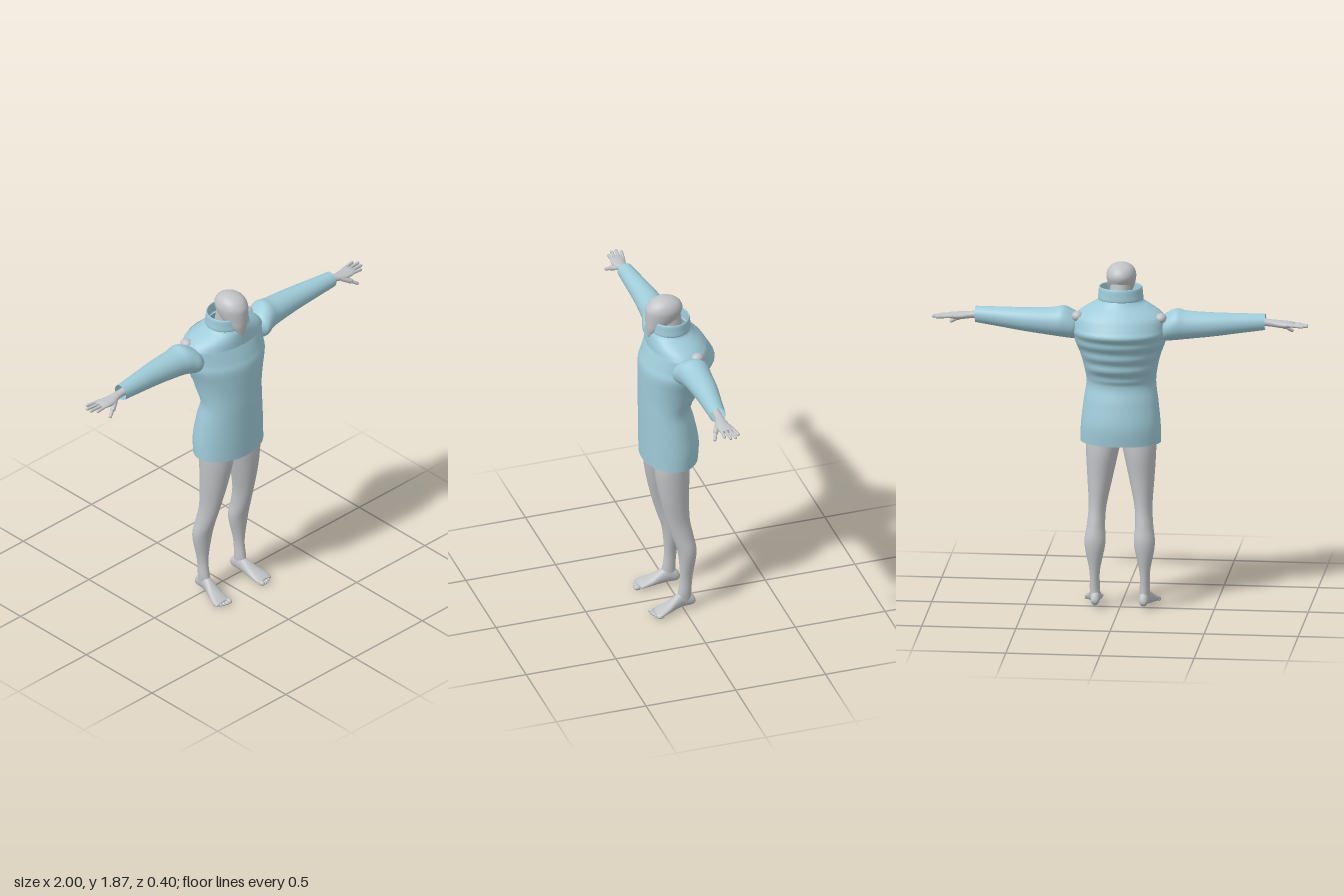
import * as THREE from 'three';

const skin = new THREE.MeshStandardMaterial({ color: 0xc1c3c6 });
skin.name = 'pale grey skin';
const knit = new THREE.MeshStandardMaterial({ color: 0x9fcbd9, side: THREE.DoubleSide });
knit.name = 'light blue knit';

// Smooth value between keys (Catmull-Rom)
function spline(keys, u, c) {
  const i = Math.min(Math.floor(u), keys.length - 2), f = u - i;
  const k = (n) => keys[Math.max(0, Math.min(keys.length - 1, n))][c];
  const [p, q, r, s] = [k(i - 1), k(i), k(i + 1), k(i + 2)];
  return q + 0.5 * f * (r - p + f * (2 * p - 5 * q + 4 * r - s + f * (3 * (q - r) + s - p)));
}

// Elliptical loft along an axis; each key is [t, aMin, aMax, bMin, bMax], t rising.
// Axis y: a = x, b = z. Axis x: a = y, b = z. Axis z: a = x, b = y.
function loft(axis, keys, { cap = true, steps = 5, sides = 40 } = {}) {
  const place = { y: (t, a, b) => [a, t, b], x: (t, a, b) => [t, a, b], z: (t, a, b) => [a, b, t] }[axis];
  const pos = [], idx = [], rows = (keys.length - 1) * steps;
  const tri = (a, b, c) => (axis === 'y' ? idx.push(a, b, c) : idx.push(a, c, b));
  for (let i = 0; i <= rows; i++) {
    const [t, a0, a1, b0, b1] = [0, 1, 2, 3, 4].map((c) => spline(keys, i / steps, c));
    for (let j = 0; j < sides; j++) {
      const w = (j / sides) * Math.PI * 2;
      pos.push(...place(t, (a0 + a1) / 2 + ((a1 - a0) / 2) * Math.cos(w), (b0 + b1) / 2 + ((b1 - b0) / 2) * Math.sin(w)));
    }
  }
  for (let i = 0; i < rows; i++) {
    for (let j = 0; j < sides; j++) {
      const p = i * sides + j, q = i * sides + ((j + 1) % sides);
      tri(p, p + sides, q);
      tri(q, p + sides, q + sides);
    }
  }
  if (cap) {
    const e = rows * sides;
    for (let j = 1; j < sides - 1; j++) {
      tri(0, j, j + 1);
      tri(e, e + j + 1, e + j);
    }
  }
  const g = new THREE.BufferGeometry();
  g.setAttribute('position', new THREE.Float32BufferAttribute(pos, 3));
  g.setIndex(idx);
  g.computeVertexNormals();
  return g;
}

// Copy of a geometry on the other side of x = 0
function mirrored(geo) {
  const g = geo.clone(), p = g.attributes.position, ix = g.index.array;
  for (let i = 0; i < p.count; i++) p.setX(i, -p.getX(i));
  for (let i = 0; i < ix.length; i += 3) [ix[i + 1], ix[i + 2]] = [ix[i + 2], ix[i + 1]];
  g.computeVertexNormals();
  return g;
}

// Rounded rod between two points
function rod(from, to, r) {
  const a = new THREE.Vector3(...from), d = new THREE.Vector3(...to).sub(a), len = d.length();
  const g = new THREE.CapsuleGeometry(r, len, 5, 12);
  g.applyQuaternion(new THREE.Quaternion().setFromUnitVectors(new THREE.Vector3(0, 1, 0), d.clone().normalize()));
  return g.translate(...a.addScaledVector(d, 0.5).toArray());
}

const ball = (x, y, z, rx, ry, rz) => new THREE.SphereGeometry(1, 20, 14).scale(rx, ry, rz).translate(x, y, z);

// Symmetric section [y, half width, back z, front z]
const even = (keys) => keys.map(([y, w, back, front]) => [y, -w, w, back, front]);

export function createModel() {
  const model = new THREE.Group();
  model.name = 'figureInSweater';
  const add = (name, geo, mat) => {
    const m = new THREE.Mesh(geo, mat);
    m.name = name;
    model.add(m);
  };
  const pair = (name, geo, mat) => {
    add(name + 'Left', geo, mat);
    add(name + 'Right', mirrored(geo), mat);
  };

  // Head with the face drawn down to a pointed chin
  add('head', loft('y', even([
    [1.638, 0.005, 0.145, 0.155], [1.66, 0.026, 0.115, 0.159], [1.70, 0.049, 0.08, 0.164],
    [1.74, 0.067, 0.0, 0.166], [1.78, 0.077, -0.03, 0.166], [1.81, 0.078, -0.035, 0.162],
    [1.84, 0.066, -0.018, 0.142], [1.86, 0.042, 0.015, 0.11], [1.869, 0.012, 0.05, 0.075],
  ])), skin);
  add('neck', loft('y', even([
    [1.5, 0.08, -0.06, 0.08], [1.62, 0.065, -0.045, 0.08], [1.7, 0.056, -0.035, 0.08], [1.79, 0.056, -0.02, 0.1],
  ])), skin);
  add('hips', loft('y', even([
    [0.885, 0.03, 0.0, 0.1], [0.9, 0.12, -0.025, 0.13], [0.95, 0.178, -0.055, 0.145],
    [1.05, 0.178, -0.06, 0.145], [1.2, 0.15, -0.045, 0.14], [1.3, 0.14, -0.05, 0.14],
  ])), skin);

  // Sweater body with soft folds across the back
  const body = loft('y', even([
    [0.9, 0.214, -0.108, 0.19], [1.0, 0.211, -0.114, 0.193], [1.12, 0.198, -0.092, 0.195],
    [1.22, 0.185, -0.07, 0.197], [1.3, 0.194, -0.108, 0.197], [1.38, 0.213, -0.138, 0.197],
    [1.46, 0.241, -0.172, 0.193], [1.51, 0.247, -0.196, 0.176], [1.575, 0.247, -0.166, 0.15], [1.6, 0.24, -0.15, 0.138],
  ]), { cap: false, steps: 8, sides: 64 });
  const p = body.attributes.position;
  for (let i = 0; i < p.count; i++) {
    const y = p.getY(i), z = p.getZ(i);
    if (y > 1.24 && y < 1.54 && z < 0) p.setZ(i, z + 0.005 * Math.sin(y * 90) * Math.min(1, -z / 0.08));
  }
  body.computeVertexNormals();
  add('sweaterBody', body, knit);
  add('sweaterYoke', loft('y', even([
    [1.588, 0.246, -0.158, 0.156], [1.62, 0.212, -0.13, 0.154], [1.65, 0.16, -0.1, 0.151],
    [1.67, 0.124, -0.085, 0.147], [1.69, 0.112, -0.07, 0.135],
  ]), { cap: false, sides: 64 }), knit);
  add('collar', loft('y', even([
    [1.678, 0.108, -0.065, 0.13], [1.682, 0.121, -0.078, 0.142], [1.71, 0.118, -0.076, 0.14],
    [1.742, 0.115, -0.073, 0.138], [1.744, 0.108, -0.066, 0.131], [1.69, 0.106, -0.064, 0.129],
  ]), { cap: false, steps: 3 }), knit);

  // Sleeves, with the bare shoulder showing behind each armhole
  pair('sleeve', loft('x', [
    [0.18, 1.49, 1.575, -0.03, 0.06], [0.22, 1.47, 1.595, -0.06, 0.085], [0.25, 1.465, 1.615, -0.08, 0.1],
    [0.3, 1.472, 1.64, -0.088, 0.085], [0.36, 1.48, 1.63, -0.082, 0.072], [0.5, 1.497, 1.624, -0.068, 0.063],
    [0.63, 1.514, 1.621, -0.045, 0.063], [0.77, 1.532, 1.618, -0.021, 0.065],
  ], { cap: false }), knit);
  pair('shoulder', ball(0.222, 1.597, -0.047, 0.03, 0.027, 0.034), skin);

  // Hands
  pair('palm', loft('x', [
    [0.72, 1.552, 1.598, 0.0, 0.045], [0.79, 1.552, 1.59, 0.0, 0.045], [0.85, 1.545, 1.584, -0.01, 0.062],
    [0.9, 1.55, 1.58, -0.019, 0.062], [0.925, 1.558, 1.574, -0.012, 0.055],
  ], { sides: 24 }), skin);
  [[-0.01, 0.97, -0.024], [0.01, 0.991, -0.002], [0.03, 0.988, 0.024], [0.049, 0.962, 0.05]].forEach(([z0, x, z], i) =>
    pair('finger' + (i + 1), rod([0.89, 1.566, z0], [x, 1.565 - i * 0.002, z], 0.0085), skin));
  pair('thumbBase', rod([0.83, 1.562, 0.045], [0.87, 1.54, 0.068], 0.014), skin);
  pair('thumb', rod([0.865, 1.542, 0.065], [0.905, 1.516, 0.084], 0.009), skin);

  // Legs
  pair('leg', loft('y', [
    [0.05, 0.105, 0.155, -0.05, 0.035], [0.1, 0.105, 0.16, -0.043, 0.03], [0.2, 0.105, 0.161, -0.05, 0.018],
    [0.35, 0.076, 0.187, -0.07, 0.03], [0.45, 0.08, 0.176, -0.055, 0.06], [0.55, 0.074, 0.169, -0.037, 0.09],
    [0.7, 0.043, 0.178, -0.035, 0.125], [0.82, 0.017, 0.185, -0.04, 0.144], [0.9, 0.002, 0.187, -0.036, 0.146],
    [1.0, 0.005, 0.18, -0.03, 0.14],
  ]), skin);

  // Feet and toes
  pair('foot', loft('z', [
    [-0.066, 0.12, 0.14, 0.035, 0.05], [-0.05, 0.106, 0.152, 0.018, 0.08], [0.0, 0.103, 0.157, 0.015, 0.105],
    [0.04, 0.104, 0.167, 0.01, 0.09], [0.09, 0.104, 0.187, 0.004, 0.058], [0.14, 0.105, 0.203, 0.0, 0.035],
    [0.165, 0.112, 0.193, 0.003, 0.024],
  ], { sides: 28 }), skin);
  for (let i = 0; i < 5; i++) {
    const r = i ? 0.01 : 0.014;
    pair('toe' + (i + 1), ball(0.121 + i * 0.018, r, 0.171 - i * i * 0.0016, r, r, 0.02), skin);
  }
  return model;
}
